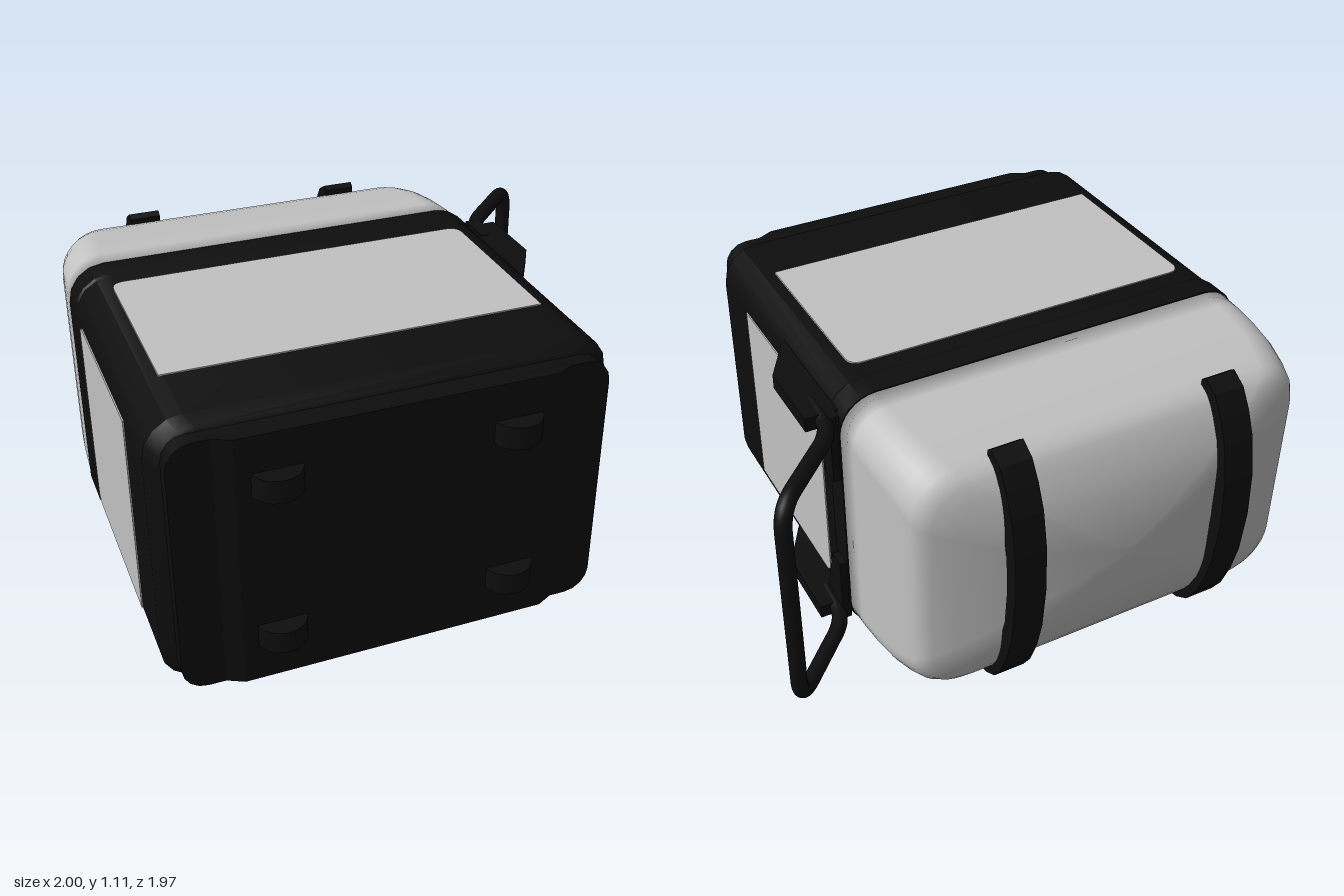
import * as THREE from 'three';
import { toCreasedNormals } from 'three/addons/utils/BufferGeometryUtils.js';

const CX = -0.18, CY = 0.575; // centre of the case in x and y

// Rounded rectangle, counter-clockwise, as [x, y] points
function ring(hw, hh, r, seg) {
  const pts = [];
  [[1, 1], [-1, 1], [-1, -1], [1, -1]].forEach(([sx, sy], k) => {
    for (let i = 0; i <= seg; i++) {
      const a = (k + i / seg) * Math.PI / 2;
      pts.push([sx * (hw - r) + r * Math.cos(a), sy * (hh - r) + r * Math.sin(a)]);
    }
  });
  return pts;
}

// Skin through rounded sections [z, halfWidth, halfHeight, radius], front to back
function loft(sections, seg) {
  const pos = [], idx = [], n = 4 * (seg + 1);
  for (const [z, hw, hh, r] of sections)
    for (const [x, y] of ring(hw, hh, r, seg)) pos.push(CX + x, CY + y, z);
  const last = sections.length - 1, c0 = pos.length / 3;
  pos.push(CX, CY, sections[0][0], CX, CY, sections[last][0]);
  for (let i = 0; i < n; i++) {
    const j = (i + 1) % n;
    for (let s = 0; s < last; s++) {
      const a = s * n + i, b = s * n + j;
      idx.push(a, a + n, b, b, a + n, b + n);
    }
    idx.push(c0, i, j, c0 + 1, last * n + j, last * n + i);
  }
  const g = new THREE.BufferGeometry();
  g.setAttribute('position', new THREE.Float32BufferAttribute(pos, 3));
  g.setIndex(idx);
  g.computeVertexNormals();
  return g;
}

// Polygon extruded by depth
function prism(points, depth) {
  const shape = new THREE.Shape(points.map(p => new THREE.Vector2(p[0], p[1])));
  return new THREE.ExtrudeGeometry(shape, { depth, bevelEnabled: false });
}

export function createModel() {
  const group = new THREE.Group();
  const black = new THREE.MeshStandardMaterial({ color: 0x0d0d0d });
  black.name = 'black';
  const grey = new THREE.MeshStandardMaterial({ color: 0xc2c2c2 });
  grey.name = 'lightGrey';
  const add = (name, geo, mat, x = 0, y = 0, z = 0) => {
    const m = new THREE.Mesh(geo, mat);
    m.name = name;
    m.position.set(x, y, z);
    group.add(m);
    return m;
  };

  // Case and front lid
  add('caseBody', toCreasedNormals(loft([
    [0.83, 0.765, 0.48, 0.11], [0.815, 0.785, 0.505, 0.13], [0.77, 0.815, 0.53, 0.14],
    [-0.25, 0.815, 0.53, 0.14], [-0.26, 0.82, 0.535, 0.14], [-0.36, 0.82, 0.535, 0.14],
  ], 4), 0.6), black);
  add('frontLid', toCreasedNormals(loft([
    [0.88, 0.77, 0.49, 0.09], [0.81, 0.77, 0.49, 0.09],
  ], 4), 0.6), black);
  const slab = prism([[-0.82, -0.87], [-0.74, -0.91], [0.38, -0.91], [0.46, -0.87]].reverse(), 0.98);
  slab.rotateX(-Math.PI / 2);
  add('lidFace', slab, black, 0, 0.085, 0);

  // Domed rear shell
  add('rearShell', loft([
    [-0.35, 0.815, 0.53, 0.14], [-0.45, 0.811, 0.529, 0.14], [-0.55, 0.805, 0.524, 0.145],
    [-0.65, 0.795, 0.514, 0.15], [-0.74, 0.78, 0.496, 0.16], [-0.79, 0.768, 0.48, 0.165],
    [-0.82, 0.748, 0.462, 0.165], [-0.84, 0.715, 0.44, 0.16], [-0.865, 0.645, 0.4, 0.15],
    [-0.9, 0.52, 0.325, 0.13], [-0.925, 0.39, 0.24, 0.1], [-0.942, 0.22, 0.13, 0.06],
    [-0.948, 0.05, 0.03, 0.015],
  ], 8), grey);

  // Inset panels on the four long sides, rounded at the rear corners
  const panel = (name, normal, half, offset) => {
    const r = 0.05, s = new THREE.Shape();
    s.moveTo(-half, -0.525);
    s.lineTo(half, -0.525);
    s.lineTo(half, 0.18 - r);
    s.quadraticCurveTo(half, 0.18, half - r, 0.18);
    s.lineTo(-half + r, 0.18);
    s.quadraticCurveTo(-half, 0.18, -half, 0.18 - r);
    const geo = new THREE.ExtrudeGeometry(s, { depth: 0.008, bevelEnabled: false, curveSegments: 6 });
    const back = new THREE.Vector3(0, 0, -1);
    const across = new THREE.Vector3().crossVectors(back, normal);
    geo.applyMatrix4(new THREE.Matrix4().makeBasis(across, back, normal));
    const p = normal.clone().multiplyScalar(offset - 0.003);
    add(name, geo, grey, CX + p.x, CY + p.y, 0);
  };
  panel('topPanel', new THREE.Vector3(0, 1, 0), 0.69, 0.53);
  panel('bottomPanel', new THREE.Vector3(0, -1, 0), 0.69, 0.53);
  panel('leftPanel', new THREE.Vector3(1, 0, 0), 0.39, 0.815);
  panel('rightPanel', new THREE.Vector3(-1, 0, 0), 0.39, 0.815);

  // Rear straps, their base pads and the round front feet
  const outer = [[-0.78, 1.08], [-0.8, 1.095], [-0.86, 1.06], [-0.905, 0.99], [-0.945, 0.9],
    [-0.975, 0.76], [-0.985, 0.58], [-0.972, 0.4], [-0.945, 0.28], [-0.905, 0.17],
    [-0.86, 0.1], [-0.8, 0.06], [-0.7, 0.038], [-0.5, 0.015], [-0.36, 0.003]];
  const inner = [[-0.36, 0.06], [-0.6, 0.08], [-0.78, 0.11], [-0.83, 0.16], [-0.88, 0.28],
    [-0.92, 0.42], [-0.93, 0.58], [-0.92, 0.72], [-0.88, 0.88], [-0.83, 1.01], [-0.78, 1.03]];
  for (const x of [-0.6, 0.24]) {
    // profile is drawn as (-z, y) so that extrusion runs along +x
    const strap = prism([...outer, ...inner].map(([z, y]) => [-z, y]), 0.12);
    strap.rotateY(Math.PI / 2);
    add('rearStrap', strap, black, x - 0.06, 0, 0);

    const pad = prism([[-0.16, 0.05], [-0.16, 0.035], [-0.105, 0], [0.105, 0], [0.16, 0.035], [0.16, 0.05]], 0.16);
    const p = pad.attributes.position;
    for (let i = 0; i < p.count; i++) // slope the front edge
      if (p.getZ(i) > 0.1 && p.getY(i) < 0.01) p.setZ(i, 0.12);
    pad.computeVertexNormals();
    add('basePad', pad, black, x, 0, -0.36);

    for (const y of [0.275, 0.885])
      add('frontFoot', new THREE.CylinderGeometry(0.09, 0.09, 0.085, 28), black, x, y, 0.89);
  }

  // Side handle: wedge brackets, gusset plates and a bent tube
  for (const s of [1, -1]) {
    const y = CY + s * 0.44;
    const wedge = prism([[0.62, -0.17], [0.64, -0.15], [0.74, 0.02], [0.74, 0.31], [0.62, 0.31]], 0.055);
    wedge.rotateX(-Math.PI / 2);
    add('handleBracket', wedge, black, 0, y - 0.0275, 0);

    const pts = [[0.2, 0.47], [0.35, 0.47], [0.35, 0.195], [0.28, 0.195], [0.24, 0.34]]
      .map(([u, v]) => [u, CY + s * v]);
    const gusset = prism(pts, 0.035);
    gusset.rotateY(Math.PI / 2);
    add('handleGusset', gusset, black, 0.632, 0, 0);
  }
  const V = (x, y, z) => new THREE.Vector3(x, y, z);
  const top = CY + 0.44, low = CY - 0.44;
  const path = new THREE.CurvePath();
  const arm = y => [V(0.67, y, -0.2), V(0.675, y, -0.32), V(0.685, y, -0.385), V(0.74, y, -0.44), V(0.9, y, -0.6)];
  const [a0, a1, a2, a3, a4] = arm(top), [b0, b1, b2, b3, b4] = arm(low);
  path.add(new THREE.LineCurve3(a0, a1));
  path.add(new THREE.QuadraticBezierCurve3(a1, a2, a3));
  path.add(new THREE.LineCurve3(a3, a4));
  path.add(new THREE.QuadraticBezierCurve3(a4, V(0.97, top, -0.67), V(0.97, top - 0.1, -0.67)));
  path.add(new THREE.LineCurve3(V(0.97, top - 0.1, -0.67), V(0.97, low + 0.1, -0.67)));
  path.add(new THREE.QuadraticBezierCurve3(V(0.97, low + 0.1, -0.67), V(0.97, low, -0.67), b4));
  path.add(new THREE.LineCurve3(b4, b3));
  path.add(new THREE.QuadraticBezierCurve3(b3, b2, b1));
  path.add(new THREE.LineCurve3(b1, b0));
  add('sideHandle', new THREE.TubeGeometry(path, 120, 0.03, 14, false), black);

  return group;
}
